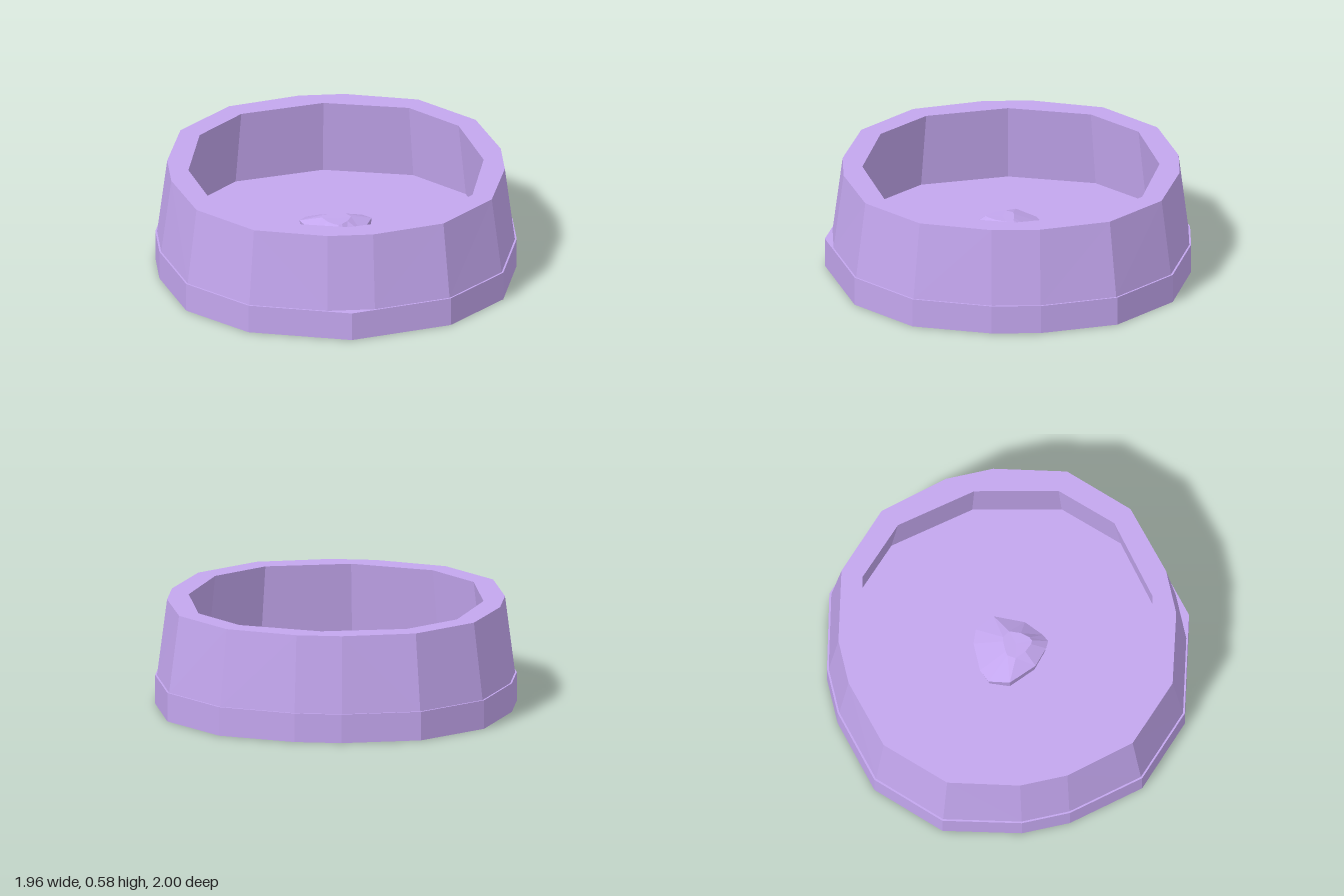
import * as THREE from 'three';

const material = new THREE.MeshStandardMaterial({ color: 0xc3a6ee, flatShading: true });

// Full outline from its +x half, listed back to front as [x, z]
const mirror = (half) => [
  ...half,
  ...half.filter(([x]) => x > 0).reverse().map(([x, ...rest]) => [-x, ...rest]),
];
const at = (outline, y) => outline.map(([x, z]) => new THREE.Vector3(x, y, z));

// Wall from one ring of points to the next (faces outward going up, inward going down)
function loft(rings) {
  const pos = [];
  for (let r = 0; r + 1 < rings.length; r++) {
    const lo = rings[r], hi = rings[r + 1];
    lo.forEach((a, i) => {
      const j = (i + 1) % lo.length;
      const b = lo[j], c = hi[j], d = hi[i];
      // The diagonal is mirrored with the side it lies on
      const corners = a.x + b.x > 0 ? [a, d, b, b, d, c] : [a, d, c, a, c, b];
      for (const p of corners) pos.push(p.x, p.y, p.z);
    });
  }
  const g = new THREE.BufferGeometry();
  g.setAttribute('position', new THREE.Float32BufferAttribute(pos, 3));
  g.computeVertexNormals();
  return g;
}

// Flat horizontal face at height y, optionally with a hole
function flat(outline, y, hole) {
  const points = (o) => o.map(([x, z]) => new THREE.Vector2(x, -z));
  const shape = new THREE.Shape(points(outline));
  if (hole) shape.holes.push(new THREE.Path(points(hole)));
  return new THREE.ShapeGeometry(shape).rotateX(-Math.PI / 2).translate(0, y, 0);
}

export function createModel() {
  const model = new THREE.Group();
  const part = (name, ...geometries) => {
    const group = new THREE.Group();
    group.name = name;
    for (const g of geometries) group.add(new THREE.Mesh(g, material));
    model.add(group);
  };

  const baseY = 0.16, topY = 0.585;
  const sides = [[0.87, -0.58], [0.98, -0.16], [0.98, 0.11], [0.87, 0.54], [0.555, 0.85]];

  // Base plate with a pointed front; its top is also the floor of the bowl
  const base = mirror([[0.13, -1], [0.555, -0.89], ...sides, [0, 1]]);
  part('base',
    loft([at(base, 0), at(base, baseY)]),
    flat(base, baseY),
    flat(base, 0).rotateZ(Math.PI));

  // Tapered bowl wall, its twelve-sided inside widening towards the floor
  const bottom = mirror([[0.13, -0.99], [0.55, -0.88], ...sides.map(([x, z]) => [x * 0.99, z * 0.99]), [0.13, 0.955]]);
  const rim = mirror([[0.125, -0.937], [0.52, -0.83], [0.81, -0.54], [0.915, -0.155],
    [0.915, 0.11], [0.81, 0.5], [0.52, 0.79], [0.125, 0.9]]);
  const inside = mirror([[0, -0.83], [0.46, -0.725], [0.71, -0.47], [0.81, -0.02],
    [0.71, 0.43], [0.46, 0.685], [0, 0.795]]);
  const insideFoot = inside.map(([x, z]) => [x * 1.06, (z + 0.02) * 1.06 - 0.02]);
  part('bowlWall',
    loft([at(bottom, baseY), at(rim, topY)]),
    flat(rim, topY, inside),
    loft([at(inside, topY), at(insideFoot, baseY)]));

  // Small faceted lump in the middle: [x, z, height above the floor]
  const ring = (half) => mirror(half).map(([x, z, h]) => new THREE.Vector3(x, baseY + h, z));
  const edge = ring([[0.08, -0.19, 0.05], [0.155, -0.16, 0.055], [0.198, -0.05, 0.085],
    [0.13, 0.11, 0.075], [0.04, 0.19, 0.065], [0, 0.21, 0.06]]);
  const foot = edge.map((p) => new THREE.Vector3(p.x * 0.95, baseY, p.z * 0.95));
  const crown = ring([[0.03, -0.035, 0.125], [0.055, -0.03, 0.125], [0.08, 0.01, 0.125],
    [0.055, 0.07, 0.127], [0.02, 0.11, 0.128], [0, 0.12, 0.128]]);
  const centre = crown.map(() => new THREE.Vector3(0, baseY + 0.125, 0.03));
  part('kibble', loft([foot, edge, crown, centre]));

  return model;
}
